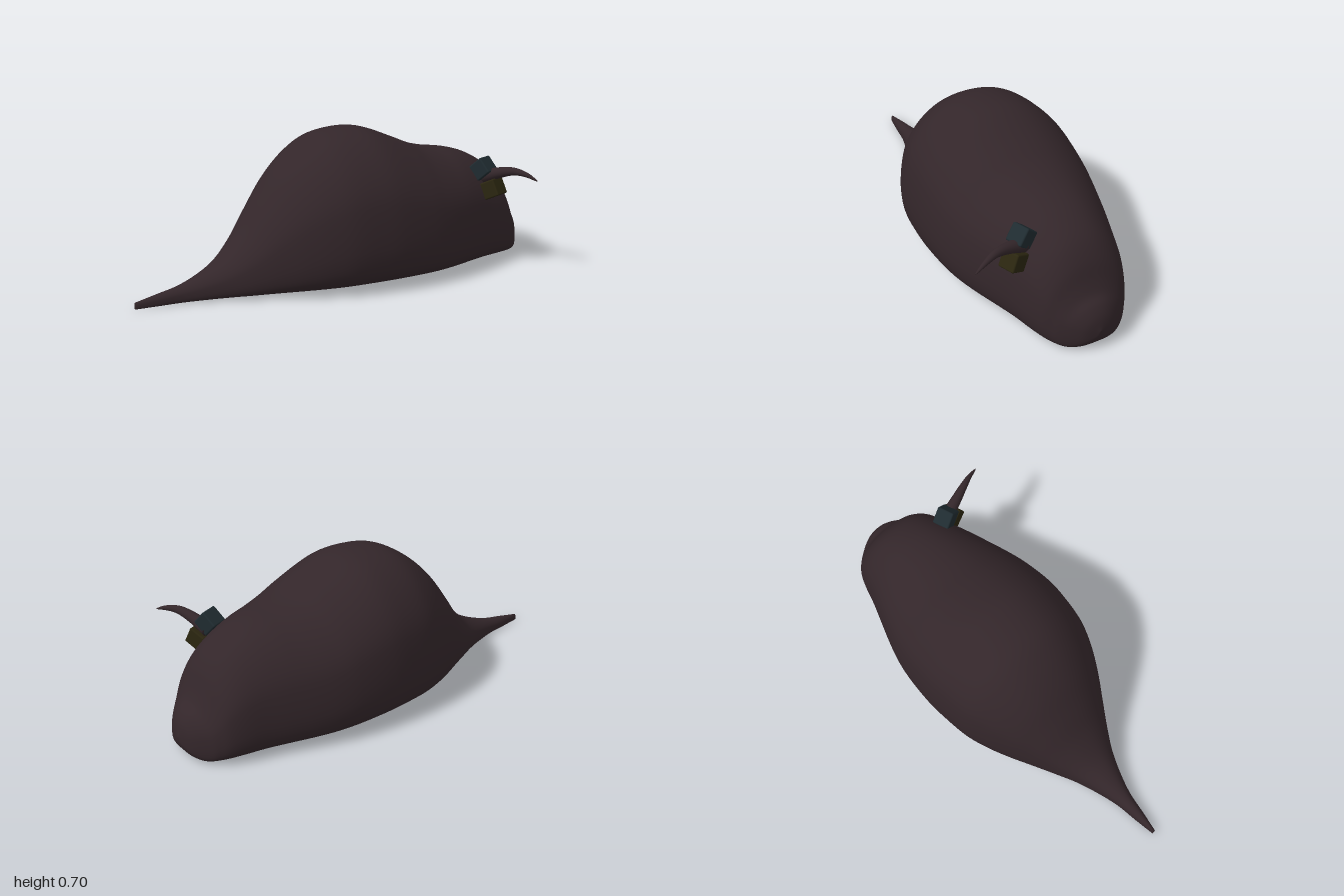
import * as THREE from 'three';
import { RoundedBoxGeometry } from 'three/addons/geometries/RoundedBoxGeometry.js';

const MID_Z = -0.045;

// Stations from tail tip to nose: x, top height, half width
const STATIONS = [
  [-1, 0.03, 0.008], [-0.9, 0.05, 0.025], [-0.8, 0.07, 0.04], [-0.7, 0.105, 0.07],
  [-0.6, 0.16, 0.11], [-0.5, 0.26, 0.165], [-0.4, 0.4, 0.225], [-0.3, 0.53, 0.285],
  [-0.2, 0.62, 0.335], [-0.1, 0.675, 0.37], [0.03, 0.695, 0.389], [0.13, 0.687, 0.395],
  [0.3, 0.622, 0.384], [0.4, 0.58, 0.365], [0.5, 0.555, 0.335], [0.6, 0.54, 0.3],
  [0.7, 0.51, 0.265], [0.8, 0.45, 0.235], [0.86, 0.375, 0.21], [0.9, 0.285, 0.182],
  [0.925, 0.24, 0.16], [0.96, 0.207, 0.115], [0.985, 0.165, 0.07], [1, 0.1, 0.002],
];

// Half of the unit cross-section: width, height
const SECTION = [
  [0, 0], [0.37, 0.003], [0.67, 0.03], [0.865, 0.075], [0.96, 0.144], [1, 0.3],
  [0.94, 0.575], [0.835, 0.72], [0.63, 0.863], [0.35, 0.965], [0, 1],
];

const material = (color) => new THREE.MeshStandardMaterial({ color });

// Joins closed rings of points into one smooth skin with capped ends
function loft(rings) {
  const n = rings[0].length;
  const positions = [];
  const index = [];
  rings.forEach((ring) => ring.forEach((p) => positions.push(p.x, p.y, p.z)));
  for (let i = 0; i < rings.length - 1; i++) {
    for (let j = 0; j < n; j++) {
      const k = (j + 1) % n;
      const a = i * n + j, b = i * n + k, c = a + n, d = b + n;
      index.push(a, b, c, b, d, c);
    }
  }
  const last = (rings.length - 1) * n;
  for (let j = 1; j < n - 1; j++) {
    index.push(0, j + 1, j, last, last + j, last + j + 1);
  }
  const geometry = new THREE.BufferGeometry();
  geometry.setAttribute('position', new THREE.Float32BufferAttribute(positions, 3));
  geometry.setIndex(index);
  geometry.computeVertexNormals();
  return geometry;
}

function bodyGeometry() {
  const mirrored = SECTION.slice(1, -1).reverse().map(([w, h]) => [-w, h]);
  const outline = new THREE.CatmullRomCurve3(
    [...SECTION, ...mirrored].map(([w, h]) => new THREE.Vector3(w, h, 0)), true);
  const unit = outline.getPoints(80).slice(0, -1);
  const spine = new THREE.CatmullRomCurve3(STATIONS.map((s) => new THREE.Vector3(...s)));
  const rings = spine.getPoints(138).map((s) => {
    // The underside curls up under the nose
    const t = THREE.MathUtils.clamp((s.x - 0.93) / 0.07, 0, 1);
    const base = 0.1 * (1 - Math.sqrt(1 - t * t));
    const height = Math.max(s.y - base, 0.001);
    return unit.map((p) => new THREE.Vector3(
      s.x, base + Math.max(p.y, 0) * height, MID_Z + p.x * s.z));
  });
  return loft(rings);
}

// Curved horn tapering to a point
function hornGeometry() {
  const path = new THREE.CatmullRomCurve3([
    [0.695, 0.425, 0.16], [0.72, 0.458, 0.25], [0.745, 0.474, 0.32],
    [0.77, 0.467, 0.38], [0.79, 0.447, 0.435],
  ].map((p) => new THREE.Vector3(...p)));
  const steps = 24, sides = 16;
  const frames = path.computeFrenetFrames(steps);
  const rings = [];
  for (let i = 0; i <= steps; i++) {
    const t = i / steps;
    const centre = path.getPointAt(t);
    const radius = 0.002 + 0.031 * Math.pow(1 - t, 0.75);
    rings.push(Array.from({ length: sides }, (_, j) => {
      const a = (j / sides) * Math.PI * 2;
      return centre.clone()
        .addScaledVector(frames.normals[i], Math.cos(a) * radius)
        .addScaledVector(frames.binormals[i], Math.sin(a) * radius);
    }));
  }
  return loft(rings);
}

export function createModel() {
  const model = new THREE.Group();
  model.name = 'creature';
  const add = (name, geometry, color) => {
    const mesh = new THREE.Mesh(geometry, material(color));
    mesh.material.side = THREE.DoubleSide;
    mesh.name = name;
    model.add(mesh);
    return mesh;
  };

  // Humped body with tail and snout
  add('body', bodyGeometry(), 0x33262a);
  add('horn', hornGeometry(), 0x33262a);

  // Two bevelled cubes set into the side of the head
  const cubes = [
    ['upperCube', 0x1f2b30, [0.685, 0.465, 0.162], -0.72],
    ['lowerCube', 0x2b2610, [0.71, 0.375, 0.212], -0.45],
  ];
  for (const [name, color, position, tilt] of cubes) {
    const cube = add(name, new RoundedBoxGeometry(0.082, 0.082, 0.082, 2, 0.007), color);
    cube.position.set(...position);
    cube.rotation.set(tilt, 0.35, 0, 'YXZ');
  }
  return model;
}
